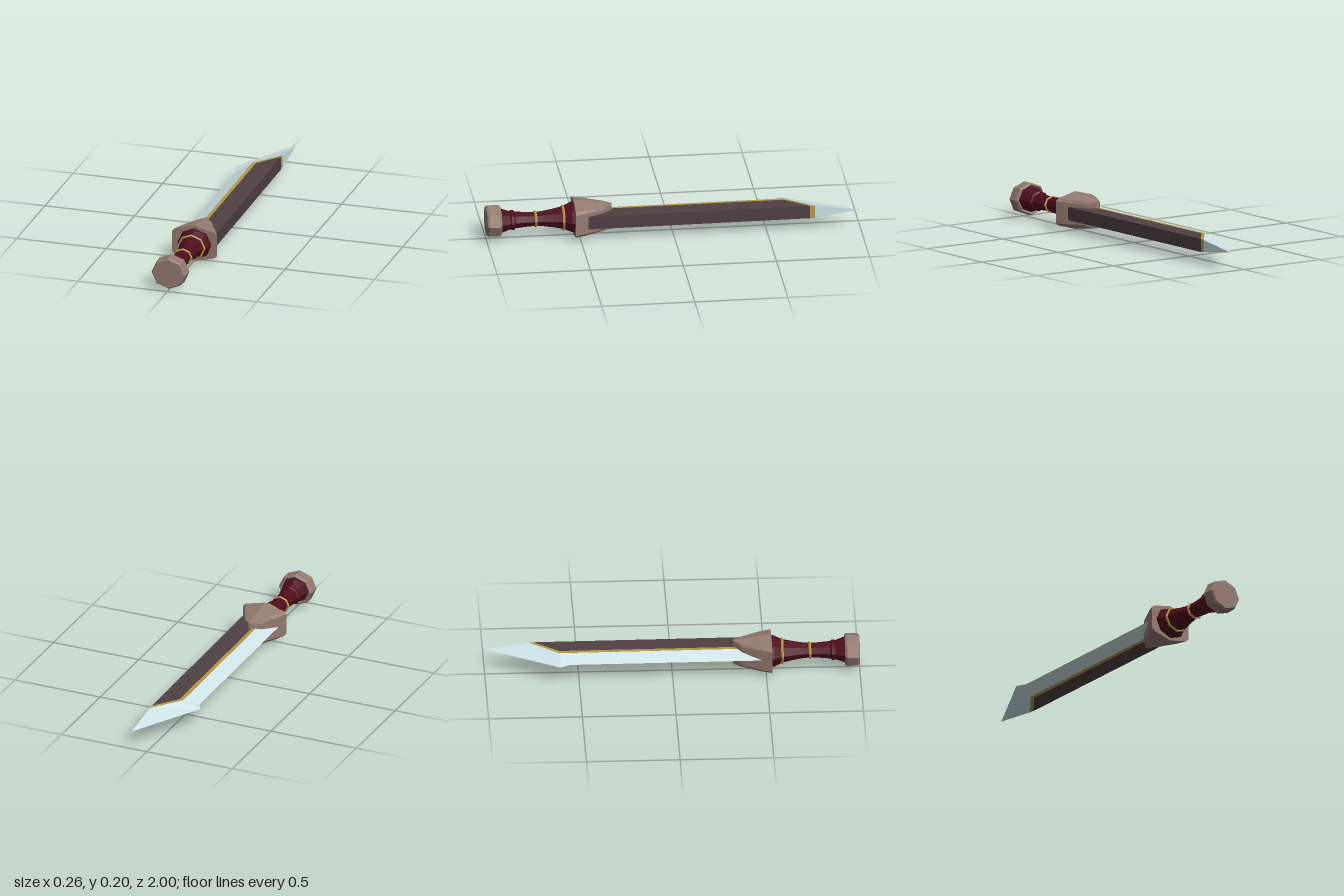
import * as THREE from 'three';

const MID = 0.103; // height of the sword's long axis

const mat = (color) => new THREE.MeshStandardMaterial({ color, flatShading: true });
const bronze = mat(0x947b70), grip = mat(0x4f0c1c), gold = mat(0xb59a45);
const spineMat = mat(0x504044), steel = mat(0xcfe4e8);

// Skin a row of cross-sections running from +z to -z, with capped ends
function loft(sections) {
  const n = sections[0].length, last = (sections.length - 1) * n, index = [];
  for (let i = 0; i < sections.length - 1; i++) {
    for (let j = 0; j < n; j++) {
      const a = i * n + j, b = i * n + (j + 1) % n;
      index.push(a, a + n, b, b, a + n, b + n);
    }
  }
  for (let j = 1; j < n - 1; j++) {
    index.push(0, j, j + 1, last, last + j + 1, last + j);
  }
  const g = new THREE.BufferGeometry();
  g.setAttribute('position', new THREE.Float32BufferAttribute(sections.flat(2), 3));
  g.setIndex(index);
  const flat = g.toNonIndexed();
  flat.computeVertexNormals();
  return flat;
}

// Flat plate from an [x, z] outline, centred on y = 0
function plate(outline, half) {
  const shape = new THREE.Shape(outline.map(([x, z]) => new THREE.Vector2(x, -z)));
  const g = new THREE.ExtrudeGeometry(shape, { depth: half * 2, bevelEnabled: false });
  return g.rotateX(-Math.PI / 2).translate(0, -half, 0);
}

// Eight-sided turned part along z from [radius, z] points
function turned(profile) {
  const pts = profile.map(([r, z]) => new THREE.Vector2(r, z));
  return new THREE.LatheGeometry(pts, 8).rotateX(Math.PI / 2);
}

export function createModel() {
  const sword = new THREE.Group();
  sword.name = 'sword';
  const add = (name, geometry, material, parent = sword) => {
    const m = new THREE.Mesh(geometry, material);
    m.name = name;
    parent.add(m);
    return m;
  };

  // Handle: slightly wider than tall
  const handle = new THREE.Group();
  handle.name = 'handle';
  handle.position.x = 0.005;
  handle.scale.x = 1.1;
  sword.add(handle);
  add('grip', turned([
    [0, 0.52], [0.087, 0.525], [0.083, 0.545], [0.064, 0.585], [0.052, 0.64],
    [0.042, 0.7], [0.039, 0.74], [0.042, 0.79], [0.047, 0.845], [0.055, 0.852],
    [0.055, 0.865], [0.051, 0.872], [0.069, 0.92], [0.069, 0.94],
  ]), grip, handle);
  add('pommel', turned([
    [0, 0.932], [0.066, 0.932], [0.08, 0.921], [0.089, 0.932], [0.087, 0.99], [0.08, 1], [0, 1],
  ]), bronze, handle);
  for (const [r, z] of [[0.041, 0.735], [0.065, 0.587]]) {
    add('gripRing', new THREE.TorusGeometry(r, 0.007, 5, 8), gold, handle).position.z = z;
  }

  // Guard: ridged block narrowing to a point over the blade
  const guard = [
    [0.53, 0.126, 0.101, 0.073], [0.475, 0.103, 0.093, 0.073],
    [0.37, 0.05, 0.078, 0.068], [0.345, 0.025, 0.074, 0.07], [0.325, 0.006, 0.071, 0.07],
  ].map(([z, w, h, e]) => {
    const c = 0.004, k = w * 0.88, s = e - 0.014;
    return [
      [c + w, -s, z], [c + w, s, z], [c + k, e, z], [c, h, z], [c - k, e, z],
      [c - w, s, z], [c - w, -s, z], [c - k, -e, z], [c, -h, z], [c + k, -e, z],
    ];
  });
  add('guard', loft(guard), bronze);

  // Dark spine of the blade
  add('bladeSpine', plate([
    [0.1, 0.48], [0.09, -0.73], [-0.01, -0.6], [-0.004, 0.48],
  ], 0.036), spineMat);

  // Gold strip between spine and cutting edge
  add('goldInlay', plate([
    [-0.004, 0.48], [-0.01, -0.6], [0.09, -0.73], [0.09, -0.757], [-0.032, -0.6], [-0.024, 0.48],
  ], 0.0345), gold);

  // Steel wedge: thick against the inlay, thin at the outer edge
  const edge = [
    [-0.024, 0.48, -0.1, 0.48],
    [-0.0315, -0.55, -0.105, -0.55],
    [-0.032, -0.6, -0.132, -0.6],
    [0.09, -0.757, 0.09, -1],
  ].map(([xi, zi, xo, zo]) => [[xi, 0.033, zi], [xo, 0, zo], [xi, -0.033, zi]]);
  add('cuttingEdge', loft(edge), steel);

  sword.position.y = MID;
  const model = new THREE.Group();
  model.name = 'shortSword';
  model.add(sword);
  return model;
}
